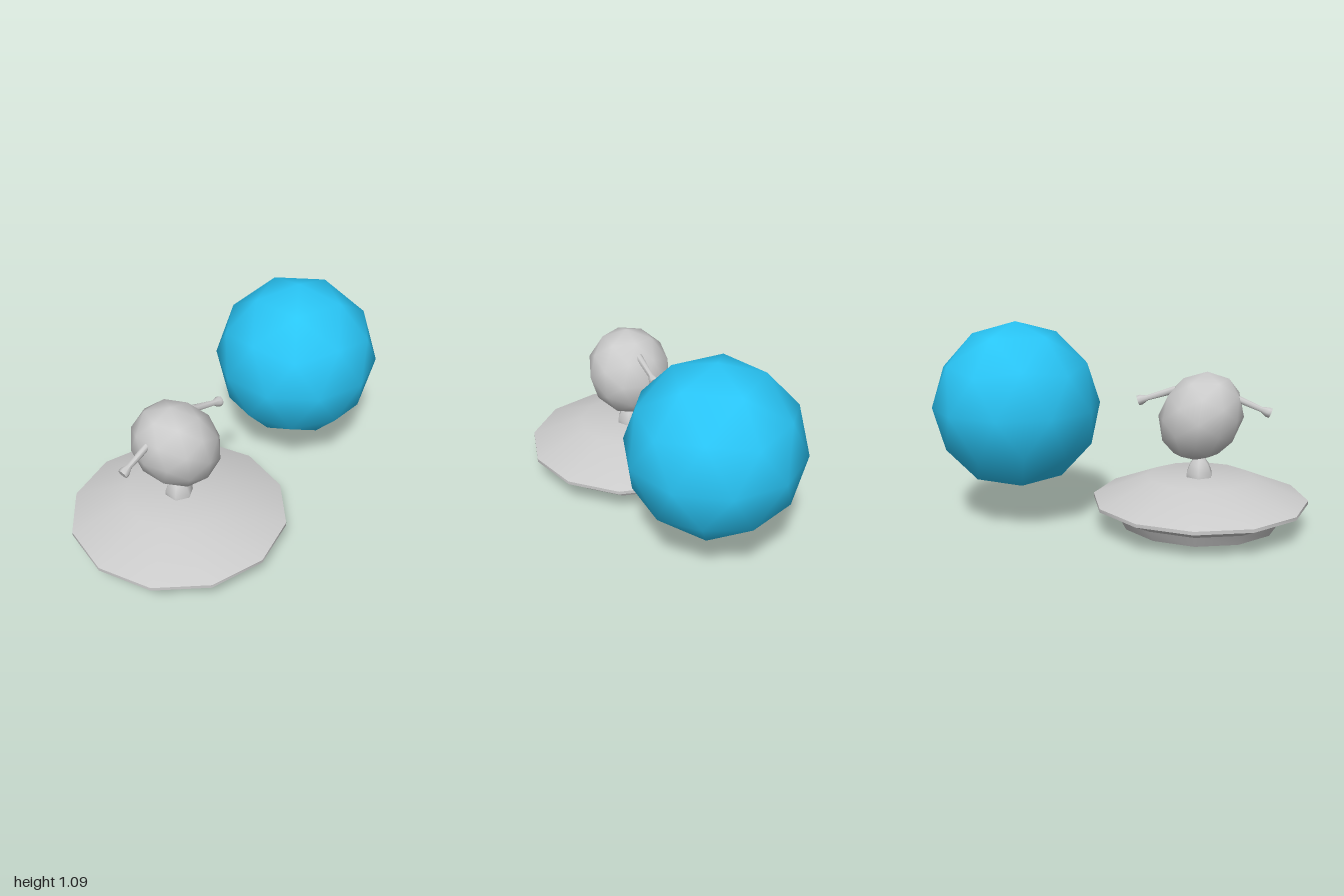
import * as THREE from 'three';
import { toCreasedNormals } from 'three/addons/utils/BufferGeometryUtils.js';

const grey = new THREE.MeshStandardMaterial({ color: 0xcccccc });
const blue = new THREE.MeshStandardMaterial({ color: 0x29c5f6 });

function mesh(name, geometry, material = grey) {
  const m = new THREE.Mesh(geometry, material);
  m.name = name;
  return m;
}

// Solid of revolution from [radius, height] pairs, listed bottom to top
function turned(profile, sides, crease = 0.6) {
  const points = profile.map(([r, y]) => new THREE.Vector2(r, y));
  return toCreasedNormals(new THREE.LatheGeometry(points, sides), crease);
}

// Low-poly ball with one corner pointing straight up
function ball(rx, ry, rz) {
  return new THREE.IcosahedronGeometry(1, 1)
    .rotateZ(-Math.atan(2 / (1 + Math.sqrt(5))))
    .scale(rx, ry, rz);
}

// Rod with a flared tip, running from one point to another
function antenna(name, from, to) {
  const a = new THREE.Vector3(...from);
  const dir = new THREE.Vector3(...to).sub(a);
  const length = dir.length();
  const m = mesh(name, turned([
    [0, 0], [0.02, 0], [0.014, length - 0.05], [0.027, length - 0.018], [0.027, length], [0, length],
  ], 8, 0.9));
  m.position.copy(a);
  m.quaternion.setFromUnitVectors(new THREE.Vector3(0, 1, 0), dir.normalize());
  return m;
}

export function createModel() {
  const group = new THREE.Group();
  const cx = -0.424;

  // Twelve-sided saucer with a stepped underside
  const saucer = mesh('saucer', turned([
    [0, 0], [0.265, 0], [0.328, 0.03], [0.428, 0.03], [0.46, 0.088],
    [0.577, 0.142], [0.577, 0.16], [0.285, 0.277], [0, 0.277],
  ], 12));
  saucer.position.x = cx;
  group.add(saucer);

  // Short pointed neck
  const neck = mesh('neck', turned([
    [0.076, 0.27], [0.074, 0.3], [0.055, 0.345], [0.025, 0.385], [0, 0.4],
  ], 6, 1.1));
  neck.position.x = cx + 0.004;
  group.add(neck);

  // Tilted head
  const head = mesh('head', ball(0.216, 0.25, 0.237));
  head.position.set(cx, 0.604, -0.003);
  head.rotation.z = THREE.MathUtils.degToRad(35);
  group.add(head);

  // Antennae on both sides of the head
  group.add(antenna('rightAntenna', [-0.58, 0.717, -0.005], [-0.787, 0.63, -0.005]));
  group.add(antenna('leftAntenna', [-0.29, 0.745, -0.005], [-0.09, 0.681, -0.005]));

  // Large floating ball
  const globe = mesh('ball', ball(0.453, 0.453, 0.453), blue);
  globe.position.set(0.567, 0.641, -0.014);
  group.add(globe);

  return group;
}
